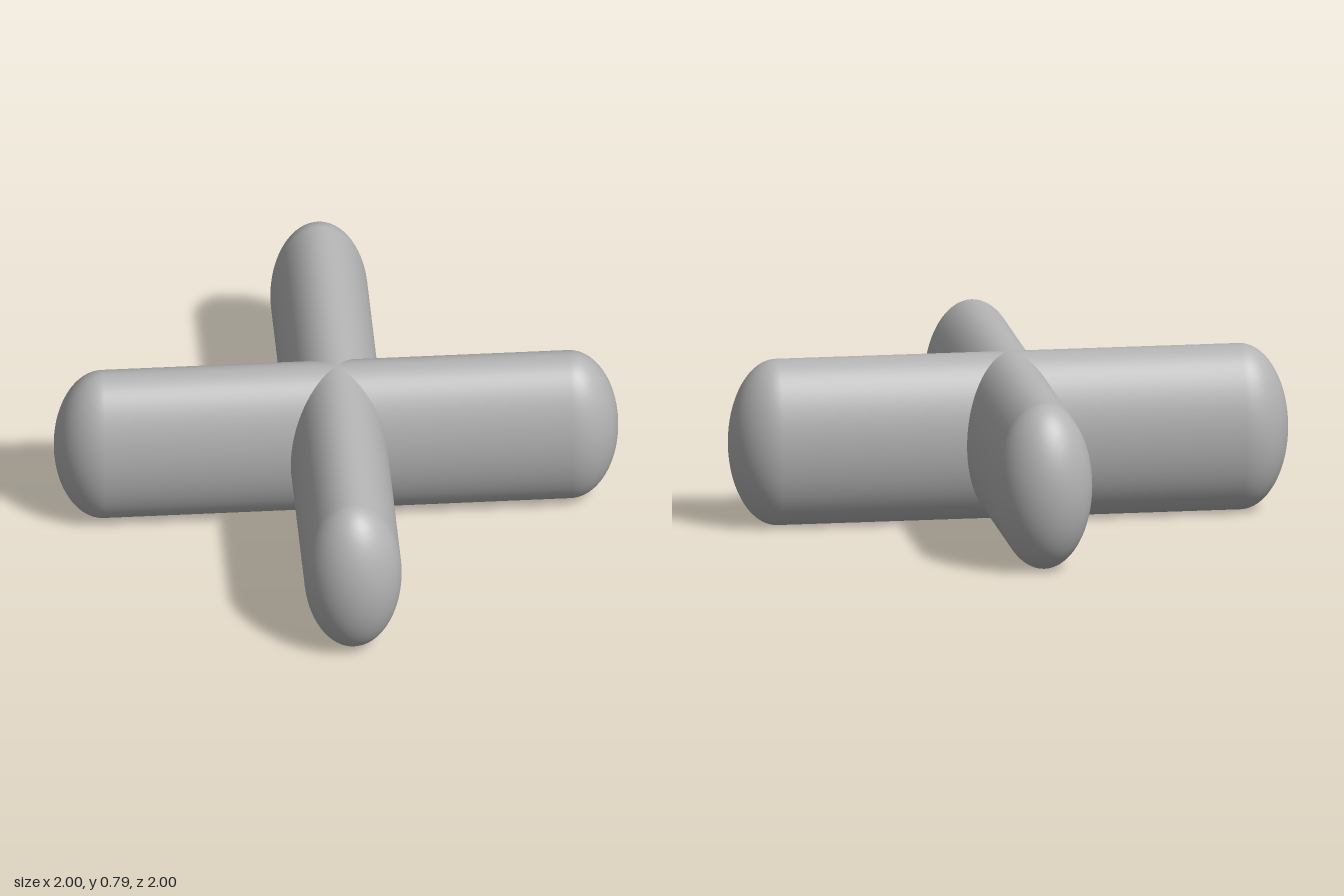
import * as THREE from 'three';

const RADIUS = 0.228;      // half thickness of a bar
const HALF_HEIGHT = 0.395; // bars are taller than they are thick
const REACH = 0.772;       // x and z of the centre of each rounded end

export function createModel() {
  const model = new THREE.Group();
  model.name = 'crossedBars';

  const grey = new THREE.MeshStandardMaterial({ color: 0xb3b3b3 });
  grey.name = 'grey';

  // Round-ended bar lying along x, stretched upright to an oval section
  const bar = new THREE.CapsuleGeometry(RADIUS, 2 * REACH * Math.SQRT2, 24, 64);
  bar.rotateZ(Math.PI / 2);
  bar.scale(1, HALF_HEIGHT / RADIUS, 1);

  // Two bars crossing on the diagonals
  for (const [name, turn] of [['risingBar', 1], ['fallingBar', -1]]) {
    const mesh = new THREE.Mesh(bar, grey);
    mesh.name = name;
    mesh.rotation.y = turn * Math.PI / 4;
    mesh.position.y = HALF_HEIGHT;
    model.add(mesh);
  }
  return model;
}
